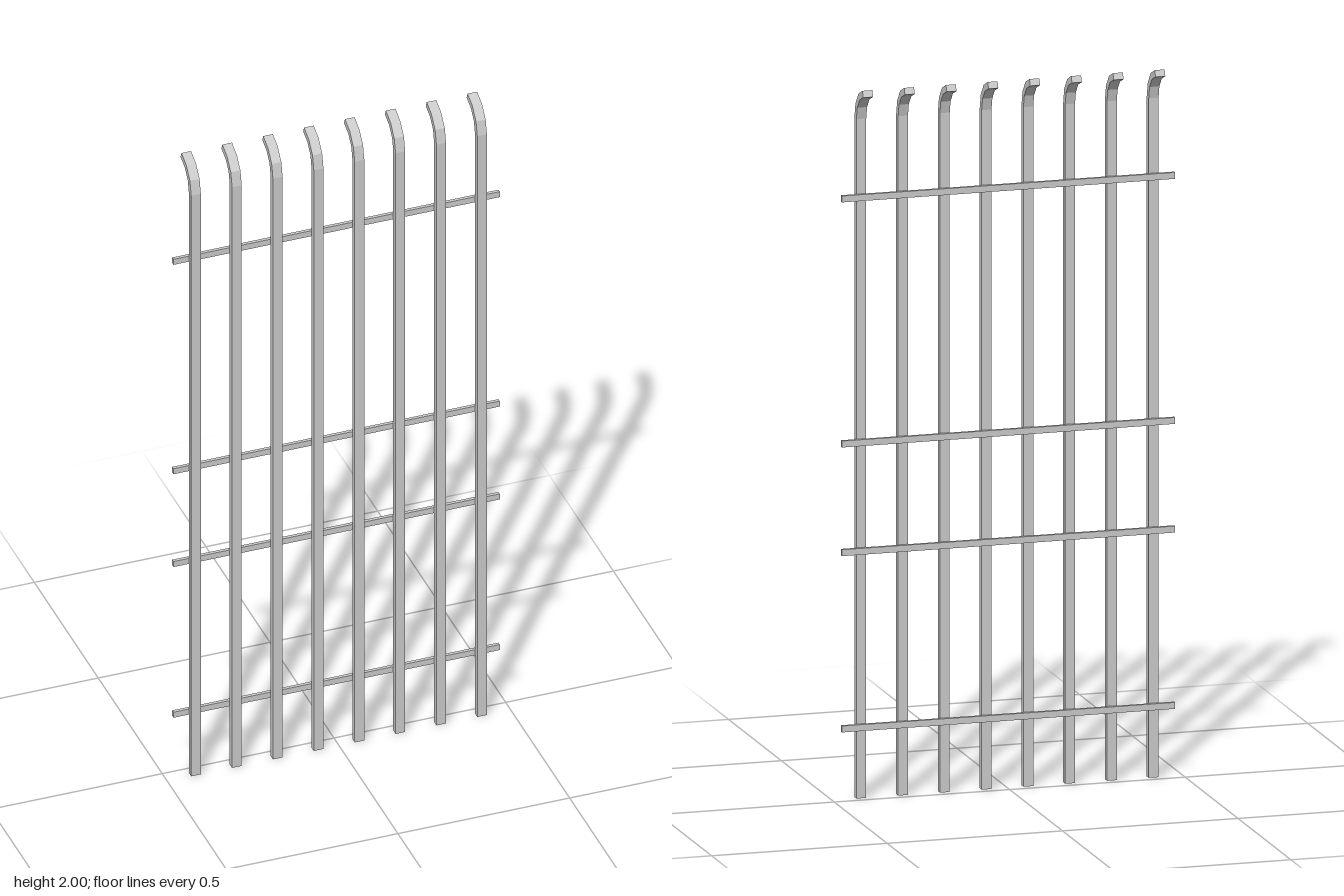
import * as THREE from 'three';

const BAR_WIDTH = 0.028, BAR_DEPTH = 0.019, FRONT_Z = 0.04;
const BEND_RADIUS = 0.085, BEND_ANGLE = THREE.MathUtils.degToRad(80), BEND_STEPS = 3;
const BEND_Y = 1.9076;

// Side outline of an upright: straight bar with a faceted bend to the back at the top
function barGeometry() {
  const half = BAR_DEPTH / 2, centreZ = FRONT_Z - half - BEND_RADIUS;
  const outer = [[FRONT_Z, 0]], inner = [[FRONT_Z - BAR_DEPTH, 0]];
  for (let i = 0; i <= BEND_STEPS; i++) {
    const a = (BEND_ANGLE * i) / BEND_STEPS;
    // the end is cut square to the last facet
    const n = i === BEND_STEPS ? a - BEND_ANGLE / BEND_STEPS / 2 : a;
    const z = centreZ + BEND_RADIUS * Math.cos(a), y = BEND_Y + BEND_RADIUS * Math.sin(a);
    outer.push([z + half * Math.cos(n), y + half * Math.sin(n)]);
    inner.push([z - half * Math.cos(n), y - half * Math.sin(n)]);
  }
  // shape x stands for -z, so that turning the extrusion sets it along x
  const points = [...outer, ...inner.reverse()].map(([z, y]) => new THREE.Vector2(-z, y));
  const geometry = new THREE.ExtrudeGeometry(new THREE.Shape(points), { depth: BAR_WIDTH, bevelEnabled: false });
  geometry.translate(0, 0, -BAR_WIDTH / 2);
  geometry.rotateY(Math.PI / 2);
  return geometry;
}

export function createModel() {
  const group = new THREE.Group();
  group.name = 'barGrille';
  const material = new THREE.MeshStandardMaterial({ color: 0xcccccc, flatShading: true });

  // Eight evenly spaced uprights
  const upright = barGeometry();
  for (let i = 0; i < 8; i++) {
    const bar = new THREE.Mesh(upright, material);
    bar.name = `uprightBar${i + 1}`;
    bar.position.x = (i - 3.5) * 0.119;
    group.add(bar);
  }

  // Four cross rails fixed behind the uprights
  const railGeometry = new THREE.BoxGeometry(0.95, 0.018, 0.01);
  [0.2, 0.695, 1.0, 1.688].forEach((y, i) => {
    const rail = new THREE.Mesh(railGeometry, material);
    rail.name = `crossRail${i + 1}`;
    rail.position.set(0, y, FRONT_Z - BAR_DEPTH - 0.005);
    group.add(rail);
  });
  return group;
}
